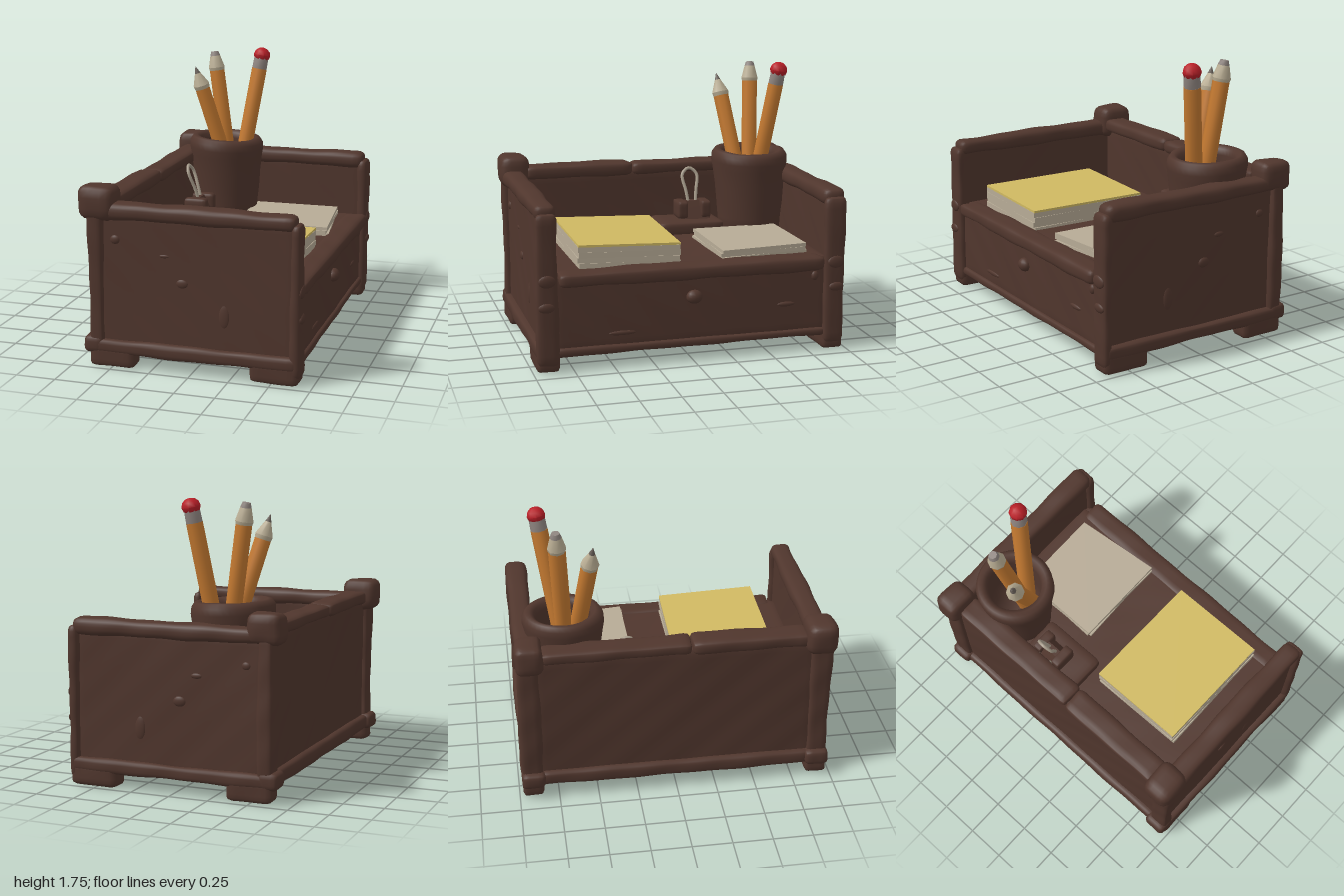
import * as THREE from 'three';
import { mergeVertices, toCreasedNormals } from 'three/addons/utils/BufferGeometryUtils.js';

const mat = (name, color) => Object.assign(new THREE.MeshStandardMaterial({ color }), { name });
const V = (x, y, z) => new THREE.Vector3(x, y, z);

export function createModel() {
  const wood = mat('dark wood', 0x50362d), paper = mat('paper', 0xb7ab96);
  const yellow = mat('yellow paper', 0xd0b962), orange = mat('pencil paint', 0xc57a31);
  const tipWood = mat('sharpened wood', 0xbaae94), lead = mat('lead', 0x6a615a);
  const red = mat('eraser red', 0xb91f27), metal = mat('metal', 0x8f8580);
  const steel = mat('clip wire', 0xa89d8c);
  const root = new THREE.Group();
  root.name = 'deskOrganizer';

  const add = (name, geo, material, parent = root) => {
    const m = new THREE.Mesh(geo, material);
    m.name = name;
    parent.add(m);
    return m;
  };

  // Uneven hand-carved surface: push vertices along their normals by smooth waves
  const carve = (geo, amp) => {
    geo.deleteAttribute('uv');
    geo.deleteAttribute('normal');
    const g = mergeVertices(geo, 1e-4);
    g.computeVertexNormals();
    const p = g.attributes.position, n = g.attributes.normal;
    for (let i = 0; i < p.count; i++) {
      const x = p.getX(i), y = p.getY(i), z = p.getZ(i);
      const w = amp * (0.6 * Math.sin(9 * x + 5 * y + 2 * z) + 0.5 * Math.sin(8 * z - 6 * y + 3 * x + 1)
        + 0.3 * Math.sin(23 * y + 21 * x - 19 * z + 2));
      p.setXYZ(i, x + n.getX(i) * w, y + n.getY(i) * w, z + n.getZ(i) * w);
    }
    g.computeVertexNormals();
    return g;
  };

  // Rounded, carved block spanning two corners
  const block = (name, [x0, x1], [y0, y1], [z0, z1], r = 0.03, amp = 0.005) => {
    const s = [x1 - x0, y1 - y0, z1 - z0];
    const seg = s.map(v => Math.max(6, Math.round(v / 0.035)));
    const g = new THREE.BoxGeometry(...s, ...seg);
    const p = g.attributes.position, v = V(), c = V();
    const rr = Math.min(r, ...s.map(q => q / 2));
    const inner = V(s[0] / 2 - rr, s[1] / 2 - rr, s[2] / 2 - rr);
    const innerMin = inner.clone().negate();
    for (let i = 0; i < p.count; i++) {
      v.fromBufferAttribute(p, i);
      c.copy(v).clamp(innerMin, inner);
      v.sub(c);
      if (v.lengthSq() > 0) v.setLength(rr);
      v.add(c);
      p.setXYZ(i, v.x, v.y, v.z);
    }
    g.translate((x0 + x1) / 2, (y0 + y1) / 2, (z0 + z1) / 2);
    return add(name, carve(g, amp), wood);
  };

  // Carved oval knot
  const knot = (name, x, y, z, sx, sy, sz) => {
    const g = new THREE.SphereGeometry(1, 14, 10).scale(sx, sy, sz).translate(x, y, z);
    return add(name, carve(g, 0.004), wood);
  };

  // End panels with frame, posts, legs and corner caps
  for (const s of [1, -1]) {
    const zr = (a, b) => s > 0 ? [a, b] : [-b, -a];
    block('endPanel', [-0.6, 0.65], [0.11, 0.98], zr(0.872, 0.943), 0.02, 0.003);
    block('endTopRail', [-0.56, 0.648], [0.925, 1.025], zr(0.845, 0.98), 0.042, 0.006);
    block('endBottomRail', [-0.66, 0.67], [0.085, 0.172], zr(0.85, 0.983), 0.028, 0.005);
    block('backPost', [-0.642, -0.547], [0.08, 1.0], zr(0.845, 0.977), 0.028, 0.006);
    block('frontPost', [0.615, 0.682], [0.04, 0.975], zr(0.845, 0.98), 0.033, 0.006);
    block('cornerCap', [-0.695, -0.47], [0.92, 1.12], zr(0.805, 0.99), 0.055, 0.009);
    block('cornerFoot', [-0.68, -0.55], [0.08, 0.19], zr(0.83, 0.985), 0.035, 0.006);
    block('backLeg', [-0.638, -0.355], [0, 0.14], zr(0.84, 0.98), 0.028, 0.004);
    block('frontLeg', [0.37, 0.67], [0, 0.14], zr(0.84, 0.98), 0.028, 0.004);
    knot('panelKnot', -0.05, 0.56, s * 0.94, 0.04, 0.03, 0.015);
    knot('panelKnot', -0.47, 0.8, s * 0.94, 0.03, 0.026, 0.015);
    knot('panelKnot', 0.21, 0.38, s * 0.938, 0.035, 0.075, 0.013);
    knot('panelKnot', -0.16, 0.72, s * 0.94, 0.035, 0.014, 0.01);
    knot('postKnot', 0.678, 0.57, s * 0.915, 0.016, 0.04, 0.055);
    knot('postKnot', 0.678, 0.41, s * 0.92, 0.016, 0.03, 0.05);
  }

  // Tall back wall with split top rail
  block('backWall', [-0.61, -0.53], [0.11, 0.99], [-0.88, 0.88], 0.02, 0.004);
  block('backTopRail', [-0.64, -0.48], [0.96, 1.045], [0.1, 0.83], 0.03, 0.006);
  block('backTopRail', [-0.635, -0.475], [0.96, 1.04], [-0.83, 0.095], 0.03, 0.006);
  block('backBottomRail', [-0.65, -0.55], [0.085, 0.18], [-0.87, 0.87], 0.03, 0.005);

  // Low front wall with rails and a knob
  block('frontWall', [0.57, 0.643], [0.11, 0.58], [-0.88, 0.88], 0.02, 0.005);
  block('frontTopRail', [0.54, 0.69], [0.52, 0.608], [-0.84, 0.84], 0.03, 0.006);
  block('frontBottomRail', [0.57, 0.663], [0.09, 0.142], [-0.87, 0.87], 0.022, 0.004);
  knot('frontKnob', 0.652, 0.405, 0, 0.037, 0.04, 0.048);
  knot('frontKnot', 0.64, 0.31, -0.6, 0.013, 0.015, 0.06);
  knot('frontKnot', 0.64, 0.48, -0.79, 0.018, 0.03, 0.025);
  knot('frontKnot', 0.64, 0.21, 0.45, 0.012, 0.015, 0.09);

  // Shelf and slightly recessed underside boards
  block('shelf', [-0.56, 0.6], [0.53, 0.595], [-0.88, 0.88], 0.015, 0.002);
  block('bottomBoard', [-0.58, 0.6], [0.135, 0.175], [0.002, 0.88], 0.01, 0.002);
  block('bottomBoard', [-0.58, 0.6], [0.138, 0.178], [-0.88, -0.002], 0.01, 0.002);

  // Paper stacks: touching layers cut from a four-cornered outline, each a little turned
  const sheet = (name, pts, y, h, turn, material, parent) => {
    const shape = new THREE.Shape(pts.map(([x, z]) => new THREE.Vector2(x, -z)));
    const g = new THREE.ExtrudeGeometry(shape, { depth: h, bevelEnabled: false });
    g.rotateX(-Math.PI / 2);
    const m = add(name, g, material, parent);
    m.position.y = y;
    m.rotation.y = turn;
  };
  const stack = (name, x, z, tilt) => {
    const g = new THREE.Group();
    g.name = name;
    g.position.set(x, 0.59, z);
    g.rotation.x = tilt;
    root.add(g);
    return g;
  };
  const whiteStack = stack('whitePaperStack', 0.22, -0.5, 0);
  const whitePts = [[-0.3, 0.29], [0.335, 0.285], [0.275, -0.285], [-0.3, -0.275]];
  for (let i = 0; i < 3; i++)
    sheet('whiteSheet', whitePts, i * 0.022, 0.022, [0.03, -0.025, 0][i], paper, whiteStack);
  const pad = stack('yellowPad', 0.14, 0.375, -0.035);
  const padPts = [[-0.4, 0.32], [0.405, 0.325], [0.405, -0.315], [-0.4, -0.325]];
  for (let i = 0; i < 4; i++)
    sheet('padSheet', padPts, i * 0.033, 0.033, [0.015, -0.012, 0.008, -0.006][i], paper, pad);
  sheet('yellowSheet', padPts, 0.132, 0.014, 0, yellow, pad);

  // Small block with a spring clip resting on it
  block('clipBase', [-0.49, -0.18], [0.585, 0.675], [-0.46, -0.02], 0.025, 0.004);
  const clipShape = new THREE.Shape([[-0.44, 0.66], [-0.27, 0.66], [-0.3, 0.72], [-0.335, 0.785],
    [-0.375, 0.785], [-0.41, 0.72]].map(([x, y]) => new THREE.Vector2(x, y)));
  const clip = new THREE.ExtrudeGeometry(clipShape, { depth: 0.2, bevelEnabled: true, bevelSize: 0.006, bevelThickness: 0.006, bevelSegments: 1 });
  add('clipBody', toCreasedNormals(clip.translate(0, 0, -0.38), 0.5), wood);
  for (const z of [-0.2, -0.36]) block('clipFold', [-0.42, -0.27], [0.68, 0.795], [z - 0.035, z + 0.035], 0.015, 0.002);
  const wire = (name, pts) => add(name, new THREE.TubeGeometry(
    new THREE.CatmullRomCurve3(pts.map(p => V(...p))), 40, 0.011, 7), steel);
  wire('clipHandle', [[-0.34, 0.74, -0.26], [-0.37, 0.85, -0.245], [-0.41, 0.96, -0.23], [-0.425, 1.0, -0.28],
    [-0.41, 0.96, -0.33], [-0.37, 0.85, -0.315], [-0.34, 0.74, -0.3]]);
  wire('clipLowerHandle', [[-0.41, 0.72, -0.24], [-0.43, 0.75, -0.25], [-0.435, 0.755, -0.29],
    [-0.43, 0.75, -0.33], [-0.41, 0.72, -0.34]]);

  // Pencil cup, rim dipping a little toward +x
  const cupProfile = [[0, 0], [0.18, 0], [0.21, 0.02], [0.215, 0.1], [0.222, 0.2], [0.232, 0.32], [0.243, 0.43],
    [0.252, 0.48], [0.25, 0.52], [0.232, 0.548], [0.205, 0.552], [0.18, 0.535], [0.17, 0.5], [0.165, 0.3], [0.16, 0.1], [0, 0.1]];
  const cup = new THREE.LatheGeometry(cupProfile.map(([r, y]) => new THREE.Vector2(r, y)), 40);
  const cp = cup.attributes.position;
  for (let i = 0; i < cp.count; i++) cp.setY(i, cp.getY(i) * (1 - 0.09 * cp.getX(i)));
  add('pencilCup', carve(cup.translate(-0.275, 0.59, -0.662), 0.005), wood);

  // Pencils: eight-sided barrel and tip pieces stacked along the axis
  const soft = g => toCreasedNormals(g, 0.85);
  const pencil = (name, from, to, parts) => {
    const g = new THREE.Group();
    const dir = V(...to).sub(V(...from)), len = dir.length();
    g.name = name;
    g.position.set(...from);
    g.quaternion.setFromUnitVectors(V(0, 1, 0), dir.normalize());
    root.add(g);
    let end = len;
    for (const [part, h, rTop, rBottom, material] of parts) {
      const height = h || end;
      const c = new THREE.CylinderGeometry(rTop, rBottom, height, 8);
      add(part, soft(c.translate(0, end - height / 2, 0)), material, g);
      end -= height;
    }
    return [g, len];
  };
  const [eraserPencil, eraserLen] = pencil('eraserPencil', [-0.2, 0.75, -0.645], [-0.06, 1.68, -0.782],
    [['ferrule', 0.08, 0.05, 0.052, metal], ['barrel', 0, 0.053, 0.053, orange]]);
  const eraser = new THREE.SphereGeometry(0.058, 9, 6).scale(1, 0.9, 1).translate(0, eraserLen + 0.015, 0);
  add('eraser', soft(eraser), red, eraserPencil);
  pencil('bluntPencil', [-0.225, 0.75, -0.645], [-0.37, 1.72, -0.69],
    [['bluntLead', 0.03, 0.026, 0.036, metal], ['bluntTip', 0.08, 0.036, 0.058, tipWood],
      ['collar', 0.02, 0.058, 0.053, tipWood], ['barrel', 0, 0.053, 0.053, orange]]);
  pencil('sharpPencil', [-0.19, 0.75, -0.61], [-0.437, 1.64, -0.475],
    [['leadPoint', 0.045, 0.002, 0.02, lead], ['sharpTip', 0.085, 0.02, 0.058, tipWood],
      ['collar', 0.025, 0.058, 0.053, tipWood], ['barrel', 0, 0.053, 0.053, orange]]);

  return root;
}
